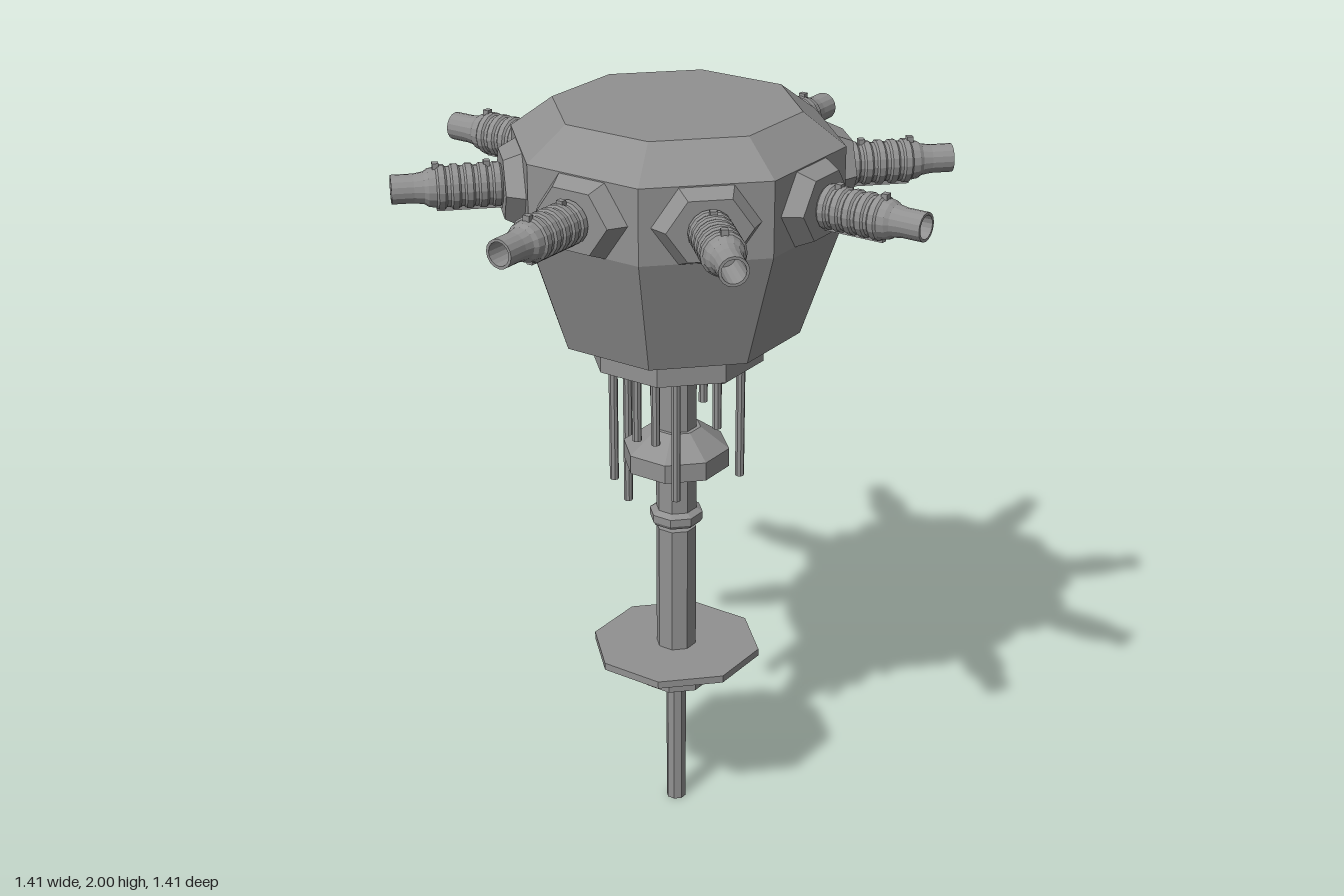
import * as THREE from 'three';

export function createModel() {
  const root = new THREE.Group();
  const metal = new THREE.MeshStandardMaterial({ color: 0x919191, flatShading: true });
  metal.name = 'grey metal';
  const hoseMetal = metal.clone();
  hoseMetal.name = 'grey hose metal';
  hoseMetal.side = THREE.DoubleSide;

  const add = (parent, name, geometry, material = metal) => {
    const mesh = new THREE.Mesh(geometry, material);
    mesh.name = name;
    parent.add(mesh);
    return mesh;
  };

  // Octagonal turned part; radii are measured to the flats, points run from bottom to top
  const octagon = (name, points) => {
    const k = 1 / Math.cos(Math.PI / 8);
    const profile = points.map(([r, y]) => new THREE.Vector2(r * k, y));
    return add(root, name, new THREE.LatheGeometry(profile, 8, Math.PI / 8));
  };

  // Main body and its lower collar
  octagon('body', [[0, 1.425], [0.295, 1.425], [0.39, 1.73], [0.39, 1.92], [0.29, 2], [0, 2]]);
  octagon('collar', [[0, 1.34], [0.21, 1.34], [0.21, 1.425], [0, 1.425]]);

  // Central spindle, from the collar down to the tip
  octagon('upperShaft', [[0, 0.865], [0.06, 0.865], [0.066, 0.875], [0.066, 0.895],
    [0.05, 0.905], [0.05, 1.34], [0, 1.34]]);
  octagon('flange', [[0.05, 1.035], [0.13, 1.035], [0.13, 1.085], [0.06, 1.14], [0.05, 1.14]]);
  octagon('lowerShaft', [[0, 0.49], [0.05, 0.49], [0.05, 0.85], [0, 0.85]]);
  octagon('disc', [[0, 0.475], [0.21, 0.475], [0.21, 0.495], [0, 0.495]]);
  octagon('tipCollar', [[0, 0.385], [0.088, 0.385], [0.088, 0.435], [0, 0.435]]);
  octagon('tipRod', [[0, 0], [0.025, 0], [0.025, 0.385], [0, 0.385]]);

  // Thin rods hanging from the collar: x, z, lower end
  const rods = [
    [-0.11, -0.11, 0.88], [-0.16, -0.03, 0.985], [-0.03, 0.16, 1.0], [0.155, 0.07, 1.015],
    [0.03, -0.14, 1.06], [0.01, -0.16, 1.14], [-0.12, 0.1, 1.15], [0.085, -0.07, 1.17],
    [-0.08, 0.145, 1.155], [0.1, 0.04, 1.14], [-0.065, 0.05, 1.25], [0.12, 0.0, 1.25],
  ];
  for (const [x, z, low] of rods) {
    const rod = add(root, 'hangingRod', new THREE.CylinderGeometry(0.012, 0.012, 1.35 - low, 8));
    rod.position.set(x, (1.35 + low) / 2, z);
  }

  // Ribbed hose profile, running outwards from the body, with a hollow end
  const hose = [[0.05, 0.4]];
  for (let i = 0; i < 5; i++) {
    const y = 0.435 + i * 0.034;
    hose.push([0.05, y], [0.055, y + 0.005], [0.055, y + 0.02], [0.05, y + 0.025]);
  }
  hose.push([0.047, 0.615], [0.04, 0.625], [0.036, 0.65], [0.036, 0.705], [0.029, 0.705], [0.027, 0.6], [0, 0.6]);
  const hoseGeometry = new THREE.LatheGeometry(hose.map(([r, y]) => new THREE.Vector2(r, y)), 16);
  hoseGeometry.rotateX(Math.PI / 2);

  // Hexagonal mount, wider than it is high
  const mountGeometry = new THREE.CylinderGeometry(0.105, 0.135, 0.05, 6, 1, false, Math.PI / 2);
  mountGeometry.rotateX(Math.PI / 2);
  mountGeometry.scale(1, 0.82, 1);

  // Eight hose arms around the body
  for (let i = 0; i < 8; i++) {
    const arm = new THREE.Group();
    arm.name = 'hoseArm';
    arm.position.y = 1.823;
    arm.rotation.y = i * Math.PI / 4;
    root.add(arm);
    add(arm, 'mount', mountGeometry).position.z = 0.41;
    add(arm, 'hose', hoseGeometry, hoseMetal);
    // Clamp strip and lugs
    add(arm, 'clampStrip', new THREE.BoxGeometry(0.016, 0.01, 0.16)).position.set(0, -0.054, 0.515);
    for (const z of [0.47, 0.595]) {
      add(arm, 'clampLug', new THREE.BoxGeometry(0.018, 0.018, 0.016)).position.set(0, 0.053, z);
    }
  }
  return root;
}
